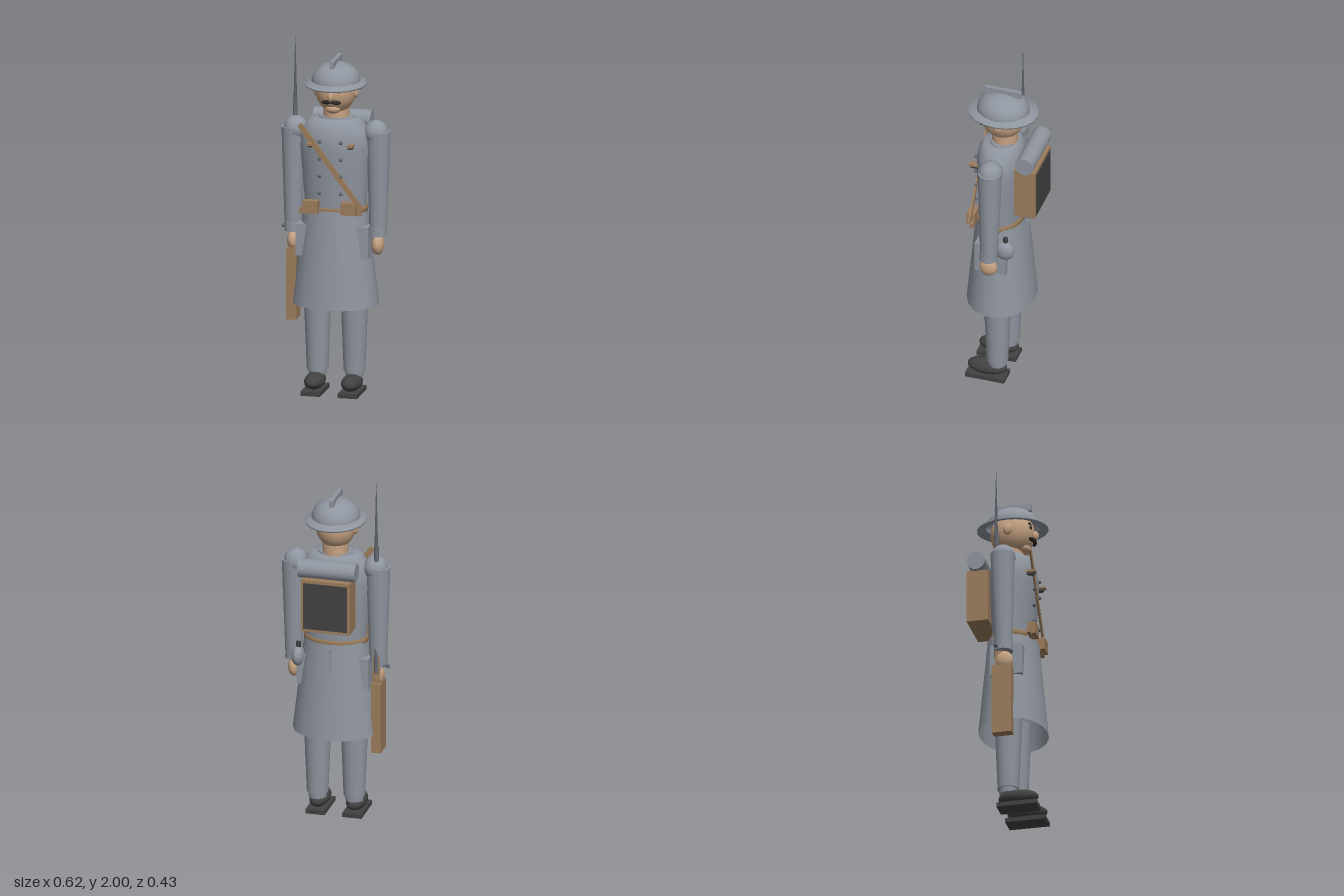
import * as THREE from 'three';

const mat = (name, color, side = THREE.FrontSide) => {
  const m = new THREE.MeshStandardMaterial({ color, side });
  m.name = name;
  return m;
};

export function createModel() {
  const root = new THREE.Group();
  root.name = 'soldier';
  const cloth = mat('blueGreyCloth', 0x8f959f, THREE.DoubleSide);
  const leather = mat('brownLeather', 0x9c7d5c);
  const skin = mat('skin', 0xc4a182);
  const dark = mat('blackLeather', 0x424242);
  const metal = mat('darkMetal', 0x646a74);
  const hair = mat('darkHair', 0x302a28);

  const add = (name, geo, material, x, y, z, parent = root) => {
    const m = new THREE.Mesh(geo, material);
    m.name = name;
    m.position.set(x, y, z);
    parent.add(m);
    return m;
  };
  const box = (name, w, h, d, material, x, y, z) =>
    add(name, new THREE.BoxGeometry(w, h, d), material, x, y, z);
  const ball = (name, rx, ry, rz, material, x, y, z, seg = 20) =>
    add(name, new THREE.SphereGeometry(1, seg, Math.ceil(seg * 0.7)).scale(rx, ry, rz), material, x, y, z);
  const tube = (name, rTop, rBot, h, material, x, y, z, seg = 16, open = false) =>
    add(name, new THREE.CylinderGeometry(rTop, rBot, h, seg, 1, open), material, x, y, z);
  const lathe = (name, pts, depth, material, y, z, seg = 20) => {
    const m = add(name, new THREE.LatheGeometry(pts.map((p) => new THREE.Vector2(...p)), seg), material, 0, y, z);
    m.scale.z = depth;
    return m;
  };

  // Greatcoat: body, collar, flared skirt and rear pleat
  lathe('coatBody', [[0.172, 1.04], [0.178, 1.13], [0.19, 1.27], [0.199, 1.38], [0.197, 1.44],
    [0.183, 1.5], [0.14, 1.555], [0, 1.56]], 0.67, cloth, 0, 0.023);
  tube('collar', 0.095, 0.11, 0.05, cloth, 0, 1.54, 0.01).scale.z = 0.75;
  lathe('coatSkirt', [[0.243, 0.5], [0.178, 1.05]], 0.79, cloth, 0, 0.02, 18);
  box('rearPleat', 0.014, 0.24, 0.02, cloth, 0, 0.91, -0.125);

  // Belt and diagonal strap
  lathe('belt', [[0.17, 1.037], [0.182, 1.037], [0.182, 1.066], [0.17, 1.066]], 0.73, leather, 0, 0.025, 24);
  box('chestStrap', 0.03, 0.585, 0.01, leather, 0.003, 1.305, 0.155).rotation.z = 0.646;

  for (const s of [-1, 1]) {
    // Leg and boot
    tube('leg', 0.079, 0.06, 0.48, cloth, s * 0.105, 0.36, 0.015, 18);
    tube('ankle', 0.054, 0.05, 0.05, cloth, s * 0.105, 0.115, 0.015, 18);
    ball('boot', 0.056, 0.045, 0.114, dark, s * 0.105, 0.065, 0.073);
    box('sole', 0.11, 0.025, 0.227, dark, s * 0.105, 0.0125, 0.073);

    // Arm, cuff and hand
    const arm = tube('arm', 0.069, 0.049, 0.58, cloth, s * 0.241, 1.2, 0.018, 12);
    arm.rotation.x = -0.01;
    ball('shoulder', 0.068, 0.07, 0.069, cloth, s * 0.228, 1.482, 0.015);
    tube('cuff', 0.051, 0.052, 0.05, cloth, s * 0.24, 0.925, 0.023, 12);
    ball('hand', 0.034, 0.056, 0.05, skin, s * 0.24, 0.845, 0.024);

    // Hip pocket, ammunition pouch and chest tab
    box('hipPocket', 0.08, 0.18, 0.18, cloth, s * 0.165, 0.87, 0.025);
    box('pouch', 0.085, 0.07, 0.045, leather, s * 0.107, 1.075, 0.157);
    box('pouchBacking', 0.1, 0.03, 0.02, leather, s * 0.125, 1.05, 0.145);
    box('chestTab', 0.032, 0.012, 0.055, leather, s * 0.115, 1.43, 0.147);
    box('chestTabBuckle', 0.024, 0.014, 0.04, dark, s * 0.115, 1.418, 0.143);

    // Two rows of coat buttons
    for (let i = 0; i < 4; i++)
      ball('button', 0.011, 0.011, 0.011, metal, s * 0.06, 1.445 - i * 0.097, 0.152, 10);

    // Face halves
    ball('ear', 0.017, 0.034, 0.027, skin, s * 0.112, 1.705, 0.012, 12);
    ball('eye', 0.013, 0.012, 0.01, hair, s * 0.042, 1.732, 0.124, 10);
    box('eyebrow', 0.042, 0.008, 0.012, hair, s * 0.042, 1.752, 0.122);
    const whisker = ball('moustache', 0.032, 0.012, 0.014, hair, s * 0.025, 1.668, 0.132, 12);
    whisker.rotation.set(0, s * 0.3, -s * 0.12);
  }

  // Head
  tube('neck', 0.072, 0.074, 0.1, skin, 0, 1.57, 0.005);
  ball('head', 0.113, 0.13, 0.124, skin, 0, 1.715, 0.015, 24);
  ball('nose', 0.016, 0.028, 0.024, skin, 0, 1.7, 0.14, 12);
  ball('chin', 0.045, 0.028, 0.035, skin, 0, 1.622, 0.085, 12);

  // Helmet: dome, brim and crest
  lathe('helmetBrim', [[0.125, 1.757], [0.168, 1.743], [0.168, 1.752], [0.13, 1.768]], 1.19, cloth, 0, 0.015);
  const dome = new THREE.SphereGeometry(1, 24, 10, 0, Math.PI * 2, 0, Math.PI / 2).scale(0.135, 0.106, 0.147);
  add('helmetDome', dome, cloth, 0, 1.764, 0.015);
  box('helmetCrest', 0.022, 0.04, 0.21, cloth, 0, 1.874, 0.015);

  // Backpack with bedroll
  box('backpack', 0.277, 0.305, 0.122, leather, 0, 1.307, -0.153);
  box('backpackPanel', 0.25, 0.27, 0.006, dark, 0, 1.307, -0.216);
  tube('bedroll', 0.053, 0.053, 0.326, cloth, 0, 1.51, -0.157, 24).rotation.z = Math.PI / 2;

  // Canteen on the left hip
  ball('canteen', 0.035, 0.058, 0.055, cloth, 0.198, 0.945, -0.057);
  tube('canteenCap', 0.014, 0.014, 0.035, dark, 0.195, 1.01, -0.06, 10);

  // Rifle carried at the right side
  box('rifleButt', 0.055, 0.41, 0.11, leather, -0.242, 0.605, 0.015);
  box('rifleGrip', 0.038, 0.07, 0.06, leather, -0.238, 0.835, 0.005);
  box('rifleStock', 0.036, 0.6, 0.045, leather, -0.24, 1.15, -0.005);
  tube('barrel', 0.013, 0.015, 0.75, metal, -0.24, 1.245, -0.018, 10);
  const bolt = tube('boltHandle', 0.006, 0.006, 0.06, metal, -0.275, 0.915, -0.01, 8);
  bolt.rotation.z = Math.PI / 2;
  ball('boltKnob', 0.012, 0.012, 0.012, metal, -0.303, 0.915, -0.01, 10);
  tube('bayonet', 0.001, 0.011, 0.4, metal, -0.24, 1.8, -0.022, 4);

  return root;
}
